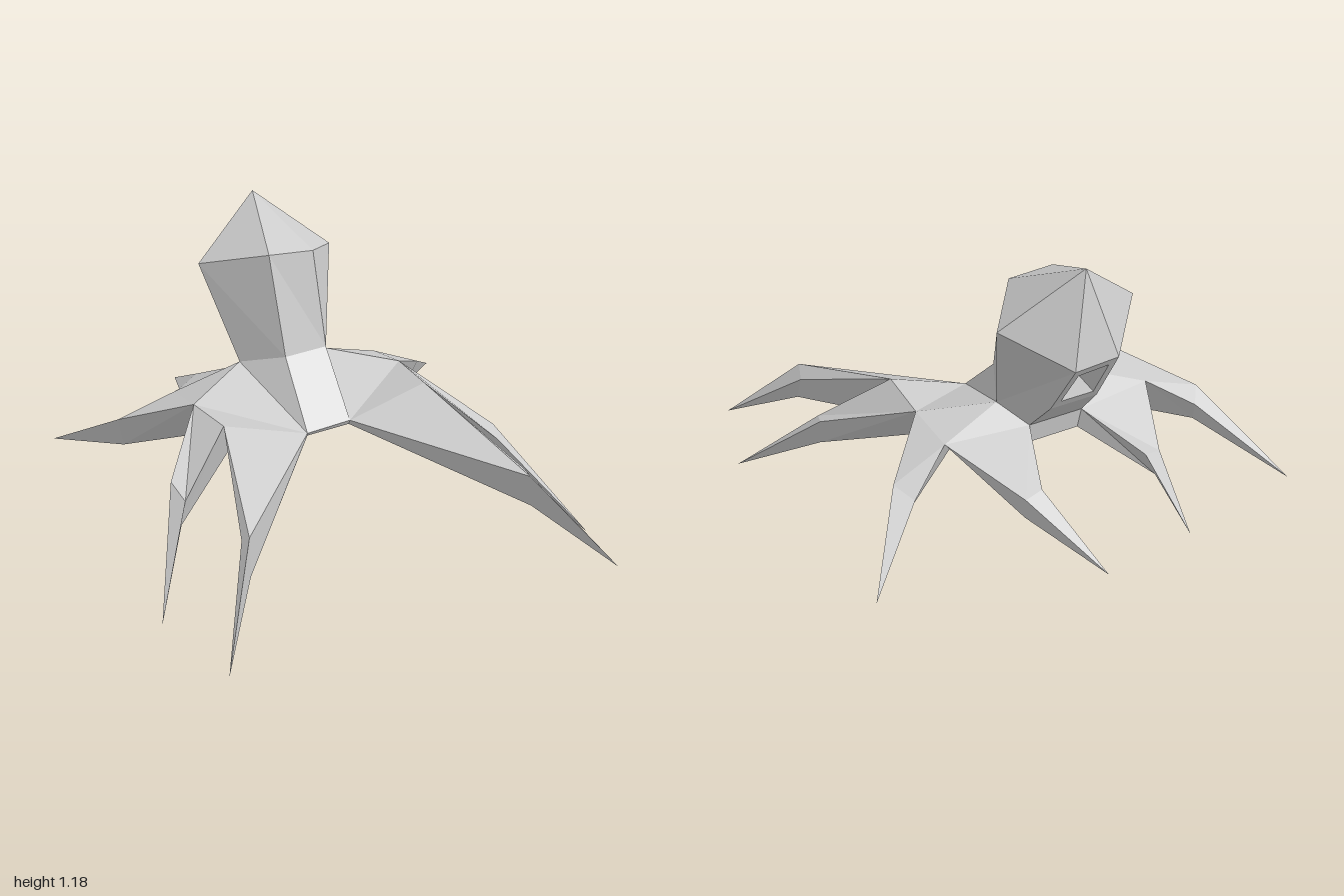
import * as THREE from 'three';

const material = new THREE.MeshStandardMaterial({ color: 0xcccccc, flatShading: true, side: THREE.DoubleSide });

// Faceted mesh from polygons of points; each face is turned away from an inner point
function facetedMesh(name, polygons, inner) {
  const centre = new THREE.Vector3(...inner);
  const positions = [];
  for (const poly of polygons) {
    for (let i = 1; i < poly.length - 1; i++) {
      const [a, b, c] = [poly[0], poly[i], poly[i + 1]].map(p => new THREE.Vector3(...p));
      const normal = b.clone().sub(a).cross(c.clone().sub(a));
      const outward = normal.dot(a.clone().add(b).add(c).divideScalar(3).sub(centre)) >= 0;
      for (const v of outward ? [a, b, c] : [a, c, b]) positions.push(v.x, v.y, v.z);
    }
  }
  const geometry = new THREE.BufferGeometry();
  geometry.setAttribute('position', new THREE.Float32BufferAttribute(positions, 3));
  geometry.computeVertexNormals();
  const mesh = new THREE.Mesh(geometry, material);
  mesh.name = name;
  return mesh;
}

const average = pts => [0, 1, 2].map(k => pts.reduce((s, p) => s + p[k], 0) / pts.length);
const mix = (a, b, t) => a.map((v, k) => v + (b[k] - v) * t);

// Each side: neck and head rings front to back, body rim front to back,
// underside (front, hub where the arms meet, back),
// and four arms as [knee front, knee rear, knee bottom, tip]
const sides = {
  left: {
    neck: [[0.11, 0.635, -0.16], [0.18, 0.56, -0.3], [0.09, 0.62, -0.53]],
    head: [[0.09, 1.02, -0.235], [0.275, 0.95, -0.46], [0.08, 0.835, -0.67]],
    rim: [[0.09, 0.42, 0.09], [0.41, 0.525, 0.11], [0.435, 0.515, -0.14], [0.43, 0.48, -0.35], [0.11, 0.5, -0.42]],
    under: [[0.09, 0.4, 0.08], [0.235, 0.37, -0.137], [0.1, 0.42, -0.41]],
    arms: [
      [[0.54, 0.35, 0.69], [0.575, 0.33, 0.6], [0.565, 0.21, 0.67], [0.765, 0.05, 0.97]],
      [[0.63, 0.32, 0.32], [0.66, 0.345, 0.235], [0.64, 0.215, 0.29], [0.865, 0, 0.63]],
      [[0.65, 0.385, -0.36], [0.61, 0.355, -0.45], [0.62, 0.27, -0.4], [0.905, 0.185, -0.71]],
      [[0.28, 0.37, -0.67], [0.205, 0.385, -0.66], [0.27, 0.28, -0.65], [0.14, 0.2, -1]],
    ],
  },
  right: {
    neck: [[-0.08, 0.635, -0.135], [-0.21, 0.58, -0.29], [-0.11, 0.62, -0.53]],
    head: [[-0.1, 1.03, -0.235], [-0.305, 0.955, -0.46], [-0.11, 0.84, -0.66]],
    rim: [[-0.105, 0.415, 0.11], [-0.46, 0.53, 0.125], [-0.48, 0.52, -0.12], [-0.47, 0.48, -0.345], [-0.12, 0.5, -0.42]],
    under: [[-0.1, 0.4, 0.1], [-0.27, 0.37, -0.13], [-0.11, 0.42, -0.41]],
    arms: [
      [[-0.605, 0.375, 0.675], [-0.62, 0.35, 0.64], [-0.6, 0.215, 0.67], [-0.83, 0.07, 1]],
      [[-0.705, 0.375, 0.335], [-0.72, 0.41, 0.235], [-0.71, 0.26, 0.3], [-0.905, 0.055, 0.585]],
      [[-0.71, 0.4, -0.36], [-0.655, 0.36, -0.43], [-0.68, 0.27, -0.39], [-0.85, 0.155, -0.79]],
      [[-0.345, 0.35, -0.62], [-0.25, 0.385, -0.66], [-0.31, 0.27, -0.645], [-0.225, 0.23, -0.985]],
    ],
  },
};

// Head: neck ring, widest ring and a pointed crown, with a small pit low at the back
function makeHead() {
  const { left: L, right: R } = sides;
  const crown = [-0.01, 1.18, -0.585];
  const faces = [
    [L.neck[0], R.neck[0], R.head[0], L.head[0]],
    [crown, L.head[0], R.head[0]],
    [crown, L.head[2], R.head[2]],
  ];
  for (const s of [L, R]) {
    for (let i = 0; i < 2; i++) {
      faces.push([s.neck[i], s.neck[i + 1], s.head[i + 1], s.head[i]]);
      faces.push([crown, s.head[i], s.head[i + 1]]);
    }
  }
  const back = [L.neck[2], R.neck[2], R.head[2], L.head[2]];
  const middle = average(back);
  const lip = back.map(p => mix(p, middle, 0.3));
  const pit = [middle[0], middle[1] + 0.02, middle[2] + 0.08];
  back.forEach((p, i) => {
    const j = (i + 1) % 4;
    faces.push([p, back[j], lip[j], lip[i]], [lip[i], lip[j], pit]);
  });
  return facetedMesh('head', faces, [0, 0.82, -0.38]);
}

// Body: mantle skirt from the neck to the rim, and a narrow underside
function makeBody() {
  const { left: L, right: R } = sides;
  const faces = [
    [L.neck[0], R.neck[0], R.rim[0], L.rim[0]],
    [L.neck[2], R.neck[2], R.rim[4], L.rim[4]],
    [L.rim[0], R.rim[0], R.under[0], L.under[0]],
    [L.rim[4], R.rim[4], R.under[2], L.under[2]],
    [L.under[0], R.under[0], R.under[1], L.under[1]],
    [L.under[1], R.under[1], R.under[2], L.under[2]],
  ];
  for (const { neck: n, rim: r } of [L, R]) {
    faces.push([n[0], n[1], r[0]], [n[1], r[2], r[0]], [r[0], r[1], r[2]],
      [n[1], r[2], r[3]], [n[1], r[3], r[4]], [n[1], r[4], n[2]]);
  }
  return facetedMesh('body', faces, [0, 0.42, -0.16]);
}

// Arm: flat-topped wedge from the rim to a three-sided knee, then a spike to the tip;
// below, it starts from one hub point or from an edge of the underside
function makeArm(name, [a, b], under, [front, rear, bottom, tip]) {
  const arm = new THREE.Group();
  arm.name = name;
  const wedge = [
    [b, a, front], [b, front, rear],
    [a, front, bottom], [a, bottom, under[0]],
    [b, rear, bottom], [b, bottom, under.at(-1)],
  ];
  if (under.length > 1) wedge.push([...under, bottom]);
  arm.add(
    facetedMesh('upperArm', wedge, average([a, b, ...under, front, rear, bottom])),
    facetedMesh('armTip', [[front, rear, tip], [rear, bottom, tip], [bottom, front, tip]],
      average([front, rear, bottom, tip])),
  );
  return arm;
}

export function createModel() {
  const model = new THREE.Group();
  model.name = 'octopus';
  model.add(makeHead(), makeBody());
  const armNames = ['FrontArm', 'FrontSideArm', 'RearSideArm', 'RearArm'];
  for (const [side, { rim, under: [front, hub, back], arms }] of Object.entries(sides)) {
    const roots = [[front, hub], [hub], [hub], [hub, back]];
    arms.forEach((arm, i) => model.add(
      makeArm(side + armNames[i], rim.slice(i, i + 2), roots[i], arm)));
  }
  return model;
}
